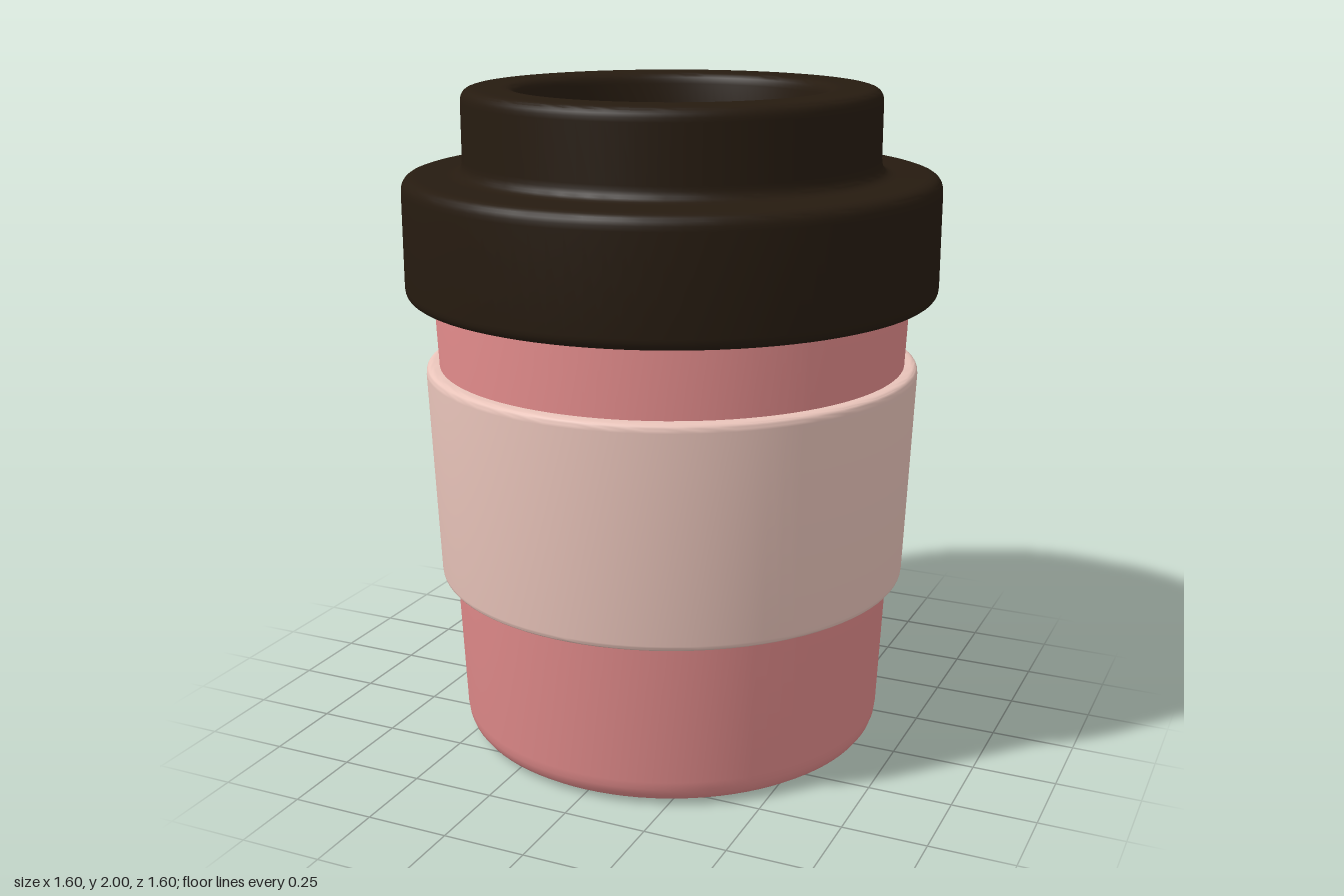
import * as THREE from 'three';
import { toCreasedNormals } from 'three/addons/utils/BufferGeometryUtils.js';

const material = (color) => new THREE.MeshStandardMaterial({ color });
const PINK = material(0xe08a8a);
const BLUSH = material(0xe9c4ba);
const BROWN = material(0x261b10);

// Turns corners [radius, height, rounding] into a profile with rounded bends.
function roundedProfile(corners, closed) {
  const pts = corners.map(([x, y]) => new THREE.Vector2(x, y));
  const n = pts.length;
  const out = [];
  pts.forEach((p, i) => {
    const r = corners[i][2] || 0;
    if (!r) {
      out.push(p);
      return;
    }
    const towards = (q) => p.clone().add(q.clone().sub(p).setLength(r));
    const a = towards(pts[(i + n - 1) % n]);
    const b = towards(pts[(i + 1) % n]);
    out.push(...new THREE.QuadraticBezierCurve(a, p, b).getPoints(6));
  });
  if (closed) out.push(out[0].clone());
  return out;
}

function turned(name, corners, mat, closed) {
  const lathe = new THREE.LatheGeometry(roundedProfile(corners, closed), 96);
  const mesh = new THREE.Mesh(toCreasedNormals(lathe, Math.PI / 5), mat);
  mesh.name = name;
  return mesh;
}

// Disc with a half-round drinking opening on the +x side
function lidFloor() {
  const R = 0.44, c = 0.03;
  const disc = new THREE.Shape().absarc(0, 0, 0.47, 0, Math.PI * 2, false);
  const a = Math.PI / 2 - c / R;
  const hole = new THREE.Path();
  hole.moveTo(0, R - c);
  hole.lineTo(0, -R + c);
  hole.quadraticCurveTo(0, -R, R * Math.cos(a), -R * Math.sin(a));
  hole.absarc(0, 0, R, -a, a, false);
  hole.quadraticCurveTo(0, R, 0, R - c);
  disc.holes.push(hole);
  const geo = new THREE.ExtrudeGeometry(disc, { depth: 0.05, bevelEnabled: false, curveSegments: 64 });
  geo.rotateX(-Math.PI / 2);
  const mesh = new THREE.Mesh(toCreasedNormals(geo, Math.PI / 5), BROWN);
  mesh.name = 'lidFloor';
  mesh.position.y = 1.79;
  return mesh;
}

export function createModel() {
  const model = new THREE.Group();
  model.name = 'travelCup';

  // Tapered hollow cup
  model.add(turned('cup', [
    [0, 0], [0.652, 0, 0.08], [0.732, 1.715, 0.025],
    [0.655, 1.715, 0.025], [0.585, 0.06, 0.06], [0, 0.06],
  ], PINK));

  // Grip band around the cup
  model.add(turned('sleeve', [
    [0.67, 0.515], [0.72, 0.515, 0.018], [0.748, 1.18, 0.024], [0.7, 1.18],
  ], BLUSH, true));

  // Stepped lid with recessed top and hollow underside
  const lid = new THREE.Group();
  lid.name = 'lid';
  lid.add(turned('lidShell', [
    [0.717, 1.39], [0.8, 1.39, 0.035], [0.8, 1.75, 0.045], [0.62, 1.75, 0.045],
    [0.62, 2, 0.04], [0.46, 2, 0.035], [0.44, 1.84], [0.44, 1.79],
    [0.57, 1.79], [0.57, 1.715], [0.733, 1.715],
  ], BROWN, true));
  lid.add(lidFloor());
  model.add(lid);

  return model;
}
